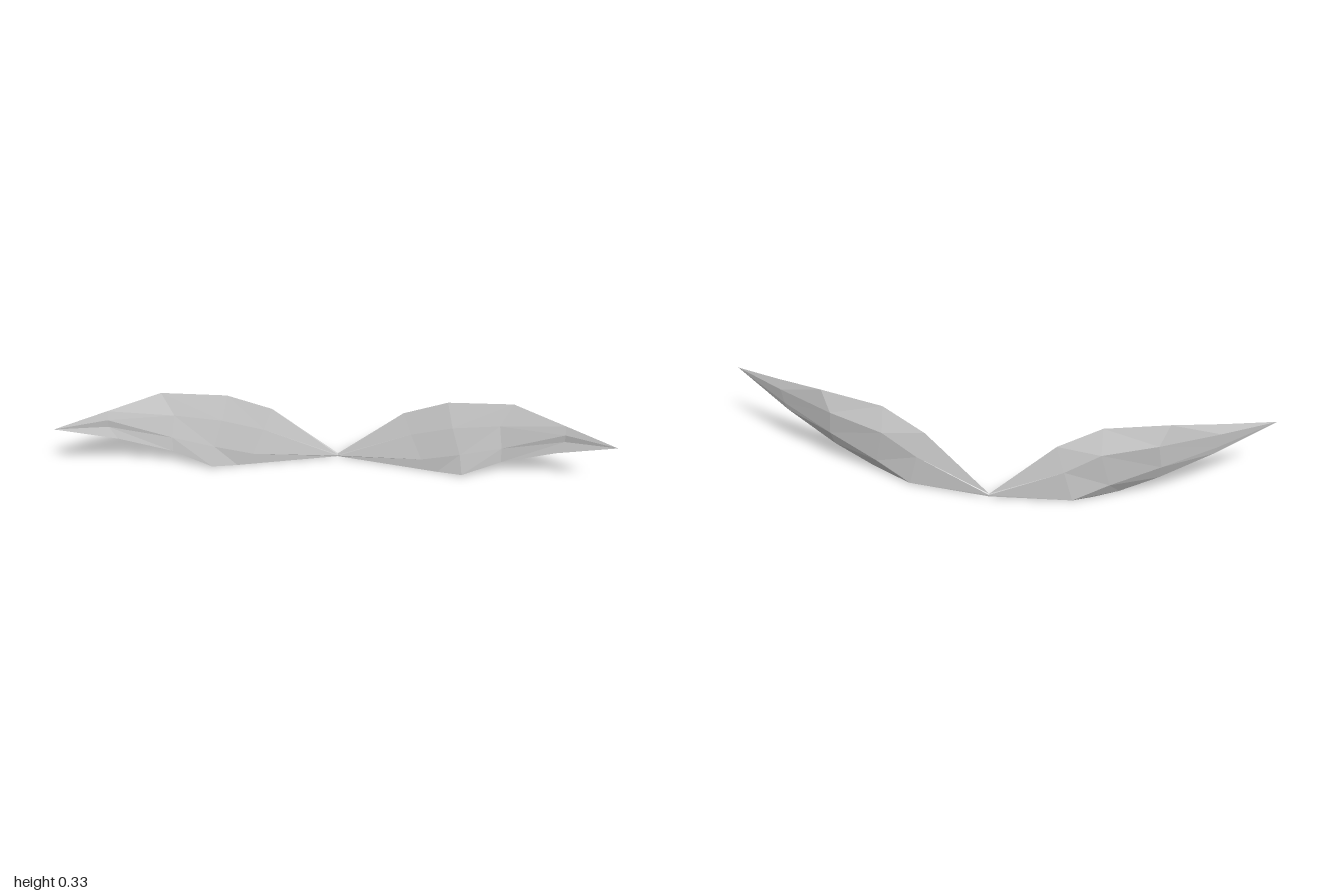
import * as THREE from 'three';

// Cross-sections from root to tip, each running:
// top edge, front high, front low, lower edge, back low, back high
const SECTIONS = [
  [[0, 0.015, -0.127], [0, 0.011, -0.122], [0, 0.008, -0.121], [0, 0.004, -0.123], [0, 0.005, -0.129], [0, 0.012, -0.13]],
  [[0.24, 0.232, -0.1], [0.27, 0.15, -0.08], [0.31, 0.05, -0.062], [0.37, 0, -0.055], [0.3, 0.006, -0.1], [0.27, 0.13, -0.11]],
  [[0.4, 0.309, -0.07], [0.42, 0.21, -0.048], [0.45, 0.1, -0.033], [0.46, 0.015, -0.022], [0.43, 0.07, -0.072], [0.4, 0.21, -0.096]],
  [[0.635, 0.333, -0.04], [0.59, 0.24, -0.03], [0.6, 0.15, -0.015], [0.6, 0.088, -0.014], [0.61, 0.15, -0.04], [0.6, 0.25, -0.06]],
  [[0.82, 0.306, 0.044], [0.82, 0.27, 0.05], [0.82, 0.235, 0.043], [0.79, 0.18, 0.04], [0.8, 0.21, 0.036], [0.81, 0.27, 0.03]],
];
const TIP = [1, 0.282, 0.13];

// Skin the cross-sections; side = 1 for left, -1 for right
function wingGeometry(side) {
  const positions = [];
  const triangle = (a, b, c) => {
    for (const p of side > 0 ? [a, b, c] : [a, c, b]) positions.push(p[0] * side, p[1], p[2]);
  };
  const count = SECTIONS[0].length;
  const last = SECTIONS.length - 1;
  for (let j = 0; j < count; j++) {
    const k = (j + 1) % count;
    for (let i = 0; i < last; i++) {
      const a = SECTIONS[i], b = SECTIONS[i + 1];
      triangle(a[j], a[k], b[j]);
      triangle(a[k], b[k], b[j]);
    }
    triangle(SECTIONS[last][j], SECTIONS[last][k], TIP);
  }
  const geometry = new THREE.BufferGeometry();
  geometry.setAttribute('position', new THREE.Float32BufferAttribute(positions, 3));
  geometry.computeVertexNormals();
  return geometry;
}

export function createModel() {
  const group = new THREE.Group();
  group.name = 'wings';
  const grey = new THREE.MeshStandardMaterial({ color: 0xcccccc, flatShading: true, side: THREE.DoubleSide });
  grey.name = 'light grey';

  // Mirrored pair of faceted, pointed wings
  for (const [name, side] of [['leftWing', 1], ['rightWing', -1]]) {
    const wing = new THREE.Mesh(wingGeometry(side), grey);
    wing.name = name;
    group.add(wing);
  }
  return group;
}
